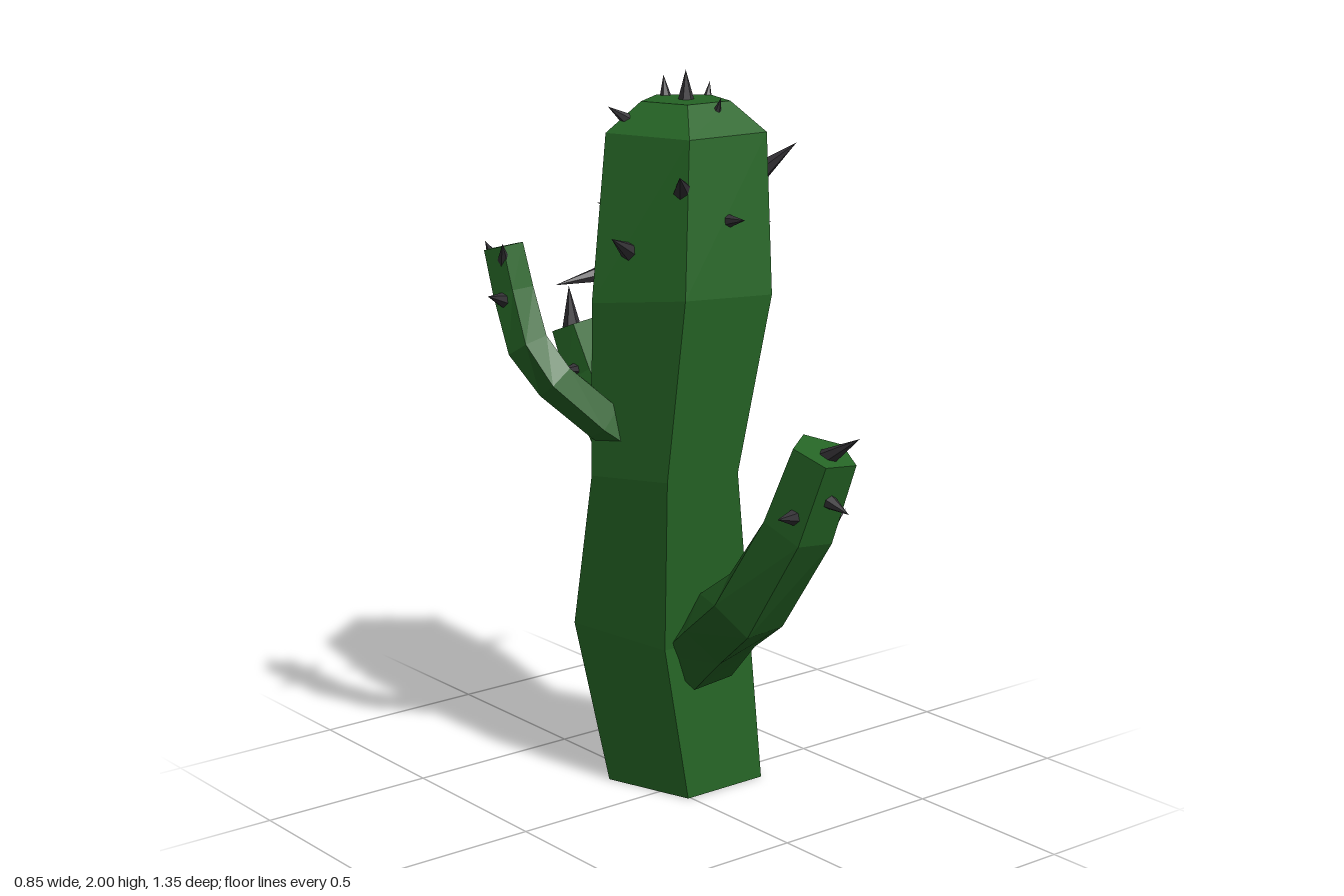
import * as THREE from 'three';

const V = (a) => new THREE.Vector3(...a);

// Five-sided stem through stations [x, y, z, radius, optional ring normal]; one corner always points to the back.
function stemGeometry(stations) {
  const pts = stations.map((s) => V(s));
  const verts = [];
  stations.forEach((s, i) => {
    const t = new THREE.Vector3();
    if (s[4]) t.copy(V(s[4]));
    else {
      if (i > 0) t.add(pts[i].clone().sub(pts[i - 1]).normalize());
      if (i < pts.length - 1) t.add(pts[i + 1].clone().sub(pts[i]).normalize());
    }
    t.normalize();
    const v = new THREE.Vector3(0, 0, -1);
    v.addScaledVector(t, -v.dot(t)).normalize();
    const u = t.clone().cross(v);
    for (let k = 0; k < 5; k++) {
      const a = (k / 5) * Math.PI * 2;
      const p = pts[i].clone().addScaledVector(v, Math.cos(a) * s[3]).addScaledVector(u, Math.sin(a) * s[3]);
      verts.push(p.x, p.y, p.z);
    }
  });
  const index = [];
  const last = (stations.length - 1) * 5;
  for (let i = 0; i < last; i += 5) {
    for (let k = 0; k < 5; k++) {
      const a = i + k, b = i + ((k + 1) % 5);
      index.push(a, b, b + 5, a, b + 5, a + 5);
    }
  }
  // end caps
  for (let k = 1; k < 4; k++) {
    index.push(0, k + 1, k);
    index.push(last, last + k, last + k + 1);
  }
  const g = new THREE.BufferGeometry();
  g.setAttribute('position', new THREE.Float32BufferAttribute(verts, 3));
  g.setIndex(index);
  const flat = g.toNonIndexed();
  flat.computeVertexNormals();
  return flat;
}

// Cone from a base point to a tip, sunk slightly into the stem.
function spineGeometry(base, tip) {
  const b = V(base), e = V(tip);
  const dir = e.clone().sub(b).normalize();
  b.addScaledVector(dir, -0.015);
  const len = b.distanceTo(e);
  const g = new THREE.ConeGeometry(Math.min(0.028, len * 0.27), len, 6).toNonIndexed();
  g.computeVertexNormals();
  g.applyQuaternion(new THREE.Quaternion().setFromUnitVectors(new THREE.Vector3(0, 1, 0), dir));
  const m = b.add(e).multiplyScalar(0.5);
  return g.translate(m.x, m.y, m.z);
}

export function createModel() {
  const model = new THREE.Group();
  model.name = 'cactus';
  const green = new THREE.MeshStandardMaterial({ color: 0x256425 });
  green.name = 'cactus green';
  const dark = new THREE.MeshStandardMaterial({ color: 0x333135 });
  dark.name = 'spine grey';

  const up = [0, 1, 0];
  const parts = {
    trunk: {
      stem: [
        [0.125, 0, -0.093, 0.227, up],
        [0.08, 0.465, -0.142, 0.258, [-0.02, 1, 0.1]],
        [0.025, 0.91, -0.06, 0.21, [0.05, 1, -0.08]],
        [0.073, 1.39, -0.047, 0.255, [0.06, 1, -0.15]],
        [0.125, 1.84, -0.093, 0.227, up],
        [0.125, 1.92, -0.093, 0.126, up],
      ],
      spines: [
        [[0.13, 1.92, -0.095], [0.125, 2.0, -0.09]],
        [[0.14, 1.91, -0.195], [0.14, 1.975, -0.205]],
        [[0.14, 1.89, 0.02], [0.14, 1.935, 0.04]],
        [[-0.03, 1.87, -0.14], [-0.085, 1.91, -0.16]],
        [[0.23, 1.89, -0.13], [0.25, 1.955, -0.14]],
        [[-0.03, 1.71, 0.09], [-0.085, 1.755, 0.145]],
        [[0.1, 1.62, 0.12], [0.1, 1.63, 0.19]],
        [[0.27, 1.74, 0.07], [0.325, 1.81, 0.135]],
        [[0.31, 1.51, -0.1], [0.42, 1.56, -0.075]],
        [[-0.11, 1.54, -0.04], [-0.19, 1.585, -0.01]],
        [[-0.06, 1.45, -0.21], [-0.21, 1.43, -0.235]],
        [[0.01, 1.62, -0.23], [-0.025, 1.63, -0.29]],
        [[0.19, 1.76, -0.25], [0.225, 1.795, -0.325]],
        [[0.21, 1.39, -0.22], [0.235, 1.39, -0.31]],
      ],
    },
    frontArm: {
      stem: [
        [0.07, 0.39, 0.03, 0.115],
        [0.06, 0.5, 0.145, 0.11],
        [0.025, 0.61, 0.307, 0.105],
        [0.05, 0.865, 0.47, 0.1],
        [0.07, 1.077, 0.547, 0.09],
      ],
      spines: [
        [[0.07, 1.065, 0.56], [0.08, 1.135, 0.67]],
        [[0.06, 0.955, 0.575], [0.06, 0.935, 0.655]],
        [[-0.03, 0.915, 0.53], [-0.09, 0.925, 0.55]],
        [[0.125, 0.85, 0.5], [0.178, 0.9, 0.515]],
      ],
    },
    rightArm: {
      stem: [
        [-0.05, 1.0, -0.06, 0.065],
        [-0.15, 1.075, -0.1, 0.062],
        [-0.27, 1.19, -0.155, 0.06],
        [-0.312, 1.28, -0.22, 0.06],
        [-0.316, 1.42, -0.28, 0.058],
        [-0.325, 1.54, -0.31, 0.056],
      ],
      spines: [
        [[-0.365, 1.405, -0.265], [-0.428, 1.425, -0.24]],
        [[-0.27, 1.43, -0.305], [-0.21, 1.42, -0.345]],
        [[-0.33, 1.5, -0.345], [-0.32, 1.54, -0.405]],
        [[-0.35, 1.51, -0.275], [-0.375, 1.56, -0.245]],
      ],
    },
    backArm: {
      stem: [
        [0.15, 0.77, -0.23, 0.085],
        [0.135, 0.91, -0.405, 0.08],
        [0.15, 1.075, -0.555, 0.078],
        [0.132, 1.217, -0.61, 0.07],
      ],
      spines: [
        [[0.125, 1.22, -0.615], [0.12, 1.33, -0.62]],
        [[0.19, 1.17, -0.595], [0.27, 1.18, -0.597]],
        [[0.085, 1.1, -0.55], [0.025, 1.11, -0.53]],
      ],
    },
  };

  for (const [name, { stem, spines }] of Object.entries(parts)) {
    const group = new THREE.Group();
    group.name = name;
    const body = new THREE.Mesh(stemGeometry(stem), green);
    body.name = name + 'Stem';
    group.add(body);
    for (const [base, tip] of spines) {
      const spine = new THREE.Mesh(spineGeometry(base, tip), dark);
      spine.name = name + 'Spine';
      group.add(spine);
    }
    model.add(group);
  }
  return model;
}
